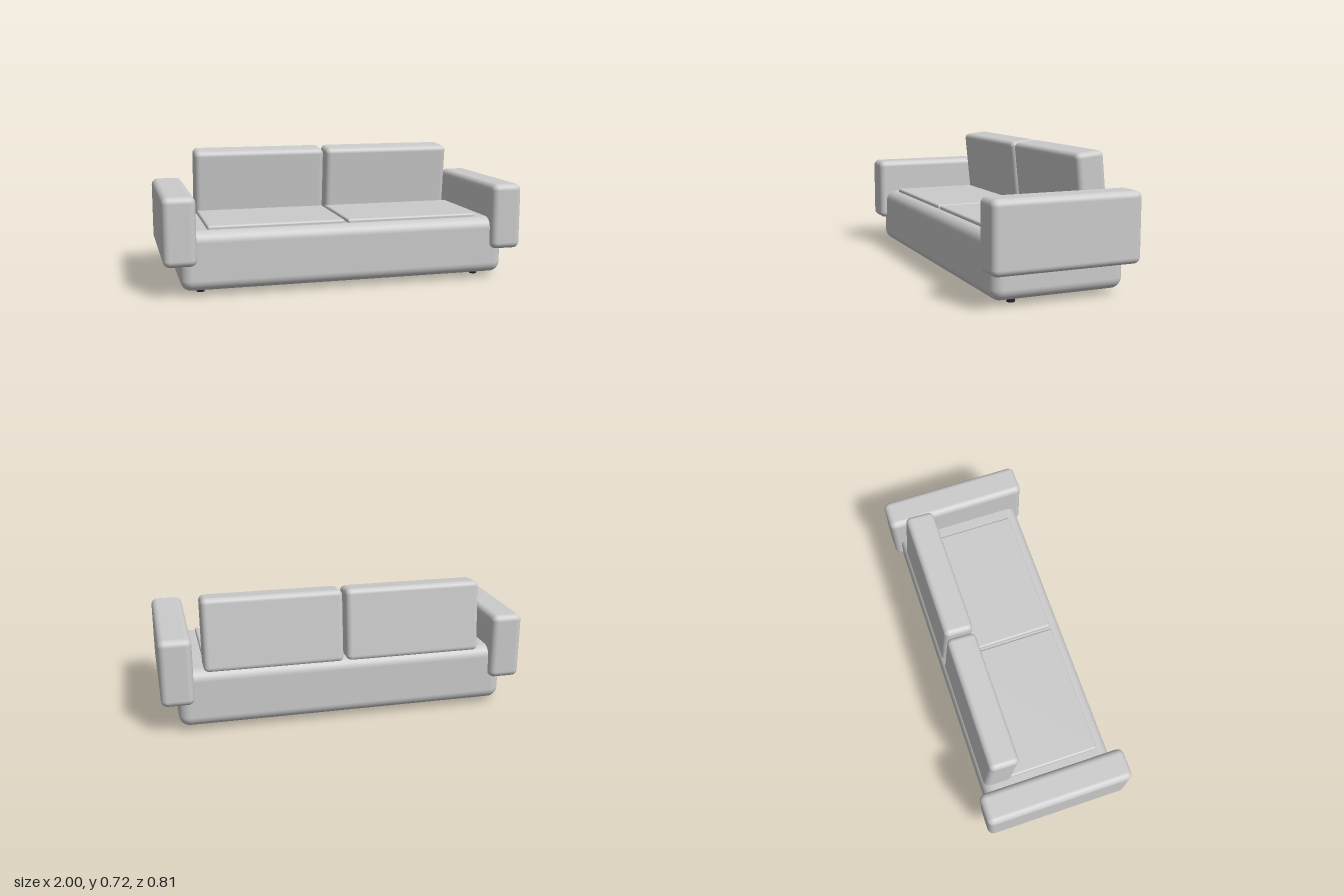
import * as THREE from 'three';
import { RoundedBoxGeometry } from 'three/addons/geometries/RoundedBoxGeometry.js';

const fabric = new THREE.MeshStandardMaterial({ color: 0xcccccc });
const darkFoot = new THREE.MeshStandardMaterial({ color: 0x222222 });

// Soft-edged upholstered block, given by its size, centre and edge radius
function block(name, [w, h, d], [x, y, z], radius) {
  const mesh = new THREE.Mesh(new RoundedBoxGeometry(w, h, d, 5, radius), fabric);
  mesh.name = name;
  mesh.position.set(x, y, z);
  return mesh;
}

export function createModel() {
  const sofa = new THREE.Group();
  sofa.name = 'sofa';

  // Low base, rounded on every edge
  sofa.add(block('base', [1.82, 0.32, 0.73], [0, 0.19, 0], 0.06));

  for (const [side, s] of [['left', 1], ['right', -1]]) {
    // Armrest, raised above the bottom of the base
    sofa.add(block(side + 'Arm', [0.174, 0.368, 0.81], [s * 0.913, 0.358, 0], 0.035));

    // Seat cushion, mostly sunk into the base
    sofa.add(block(side + 'SeatCushion', [0.752, 0.08, 0.61], [s * 0.384, 0.33, 0], 0.012));

    // Back cushion, tipped slightly forward
    const back = block(side + 'BackCushion', [0.758, 0.4, 0.162], [s * 0.387, 0.52, -0.253], 0.03);
    back.rotation.x = 0.1;
    sofa.add(back);

    // Short round front foot
    const foot = new THREE.Mesh(new THREE.CylinderGeometry(0.021, 0.021, 0.04, 24), darkFoot);
    foot.name = side + 'Foot';
    foot.position.set(s * 0.795, 0.02, 0.22);
    sofa.add(foot);
  }
  return sofa;
}
